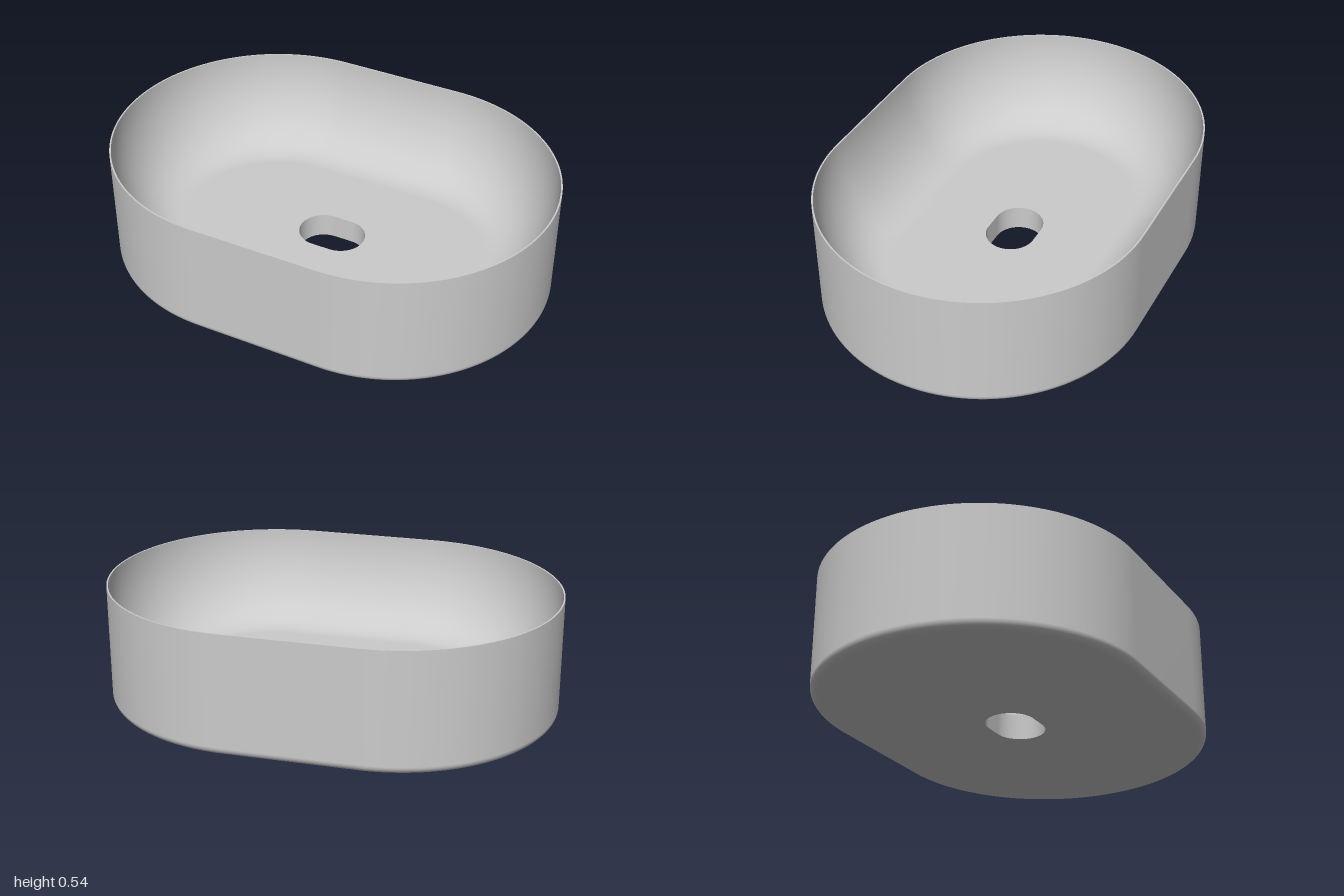
import * as THREE from 'three';

const HEIGHT = 0.535, FLOOR = 0.113, LIP = 0.007;
const OUTER = 0.714, STRAIGHT = 0.286; // end radius and half length of the straight sides
const HOLE = { r: 0.11, s: 0.042 };
const ARC = 64; // segments per semicircular end

// Skins a list of stadium-shaped rings { r: end radius, s: half straight, y: height }.
function loft(name, rings, material) {
  const pos = [], index = [], n = 2 * (ARC + 1);
  for (const { r, s, y } of rings) {
    for (let end = 0; end < 2; end++) {
      for (let k = 0; k <= ARC; k++) {
        const t = -Math.PI / 2 + Math.PI * (end + k / ARC);
        pos.push((end ? -s : s) + r * Math.cos(t), y, r * Math.sin(t));
      }
    }
  }
  for (let i = 0; i < rings.length - 1; i++) {
    for (let j = 0; j < n; j++) {
      const a = i * n + j, c = i * n + (j + 1) % n;
      index.push(a, a + n, c, c, a + n, c + n);
    }
  }
  const geometry = new THREE.BufferGeometry();
  geometry.setAttribute('position', new THREE.Float32BufferAttribute(pos, 3));
  geometry.setIndex(index);
  geometry.computeVertexNormals();
  const mesh = new THREE.Mesh(geometry, material);
  mesh.name = name;
  return mesh;
}

// Quarter-ellipse of rings, from a horizontal face up to a vertical wall.
function sweep(wallRadius, baseY, width, height, steps) {
  return Array.from({ length: steps + 1 }, (_, i) => {
    const a = (i / steps) * Math.PI / 2;
    return {
      r: wallRadius - width + width * Math.sin(a),
      s: STRAIGHT,
      y: baseY + height - height * Math.cos(a),
    };
  });
}

export function createModel() {
  const group = new THREE.Group();
  group.name = 'basin';
  const material = new THREE.MeshStandardMaterial({ color: 0xcccccc, side: THREE.DoubleSide });
  const outerCurve = sweep(OUTER, 0, 0.037, 0.037, 10);
  const bowlCurve = sweep(OUTER - LIP, FLOOR, 0.285, HEIGHT - FLOOR, 32).reverse();
  const outerTop = { r: OUTER, s: STRAIGHT, y: HEIGHT };
  const holeTop = { ...HOLE, y: FLOOR }, holeBottom = { ...HOLE, y: 0 };

  group.add(
    // flat underside
    loft('underside', [holeBottom, outerCurve[0]], material),
    // rounded lower edge and straight outer wall
    loft('outerWall', [...outerCurve, outerTop], material),
    // thin flat rim
    loft('rim', [outerTop, bowlCurve[0]], material),
    // inner wall curving from the rim down to the floor
    loft('bowl', bowlCurve, material),
    // flat floor around the drain
    loft('floor', [bowlCurve[bowlCurve.length - 1], holeTop], material),
    // drain opening through the floor
    loft('drainWall', [holeTop, holeBottom], material),
  );
  return group;
}
